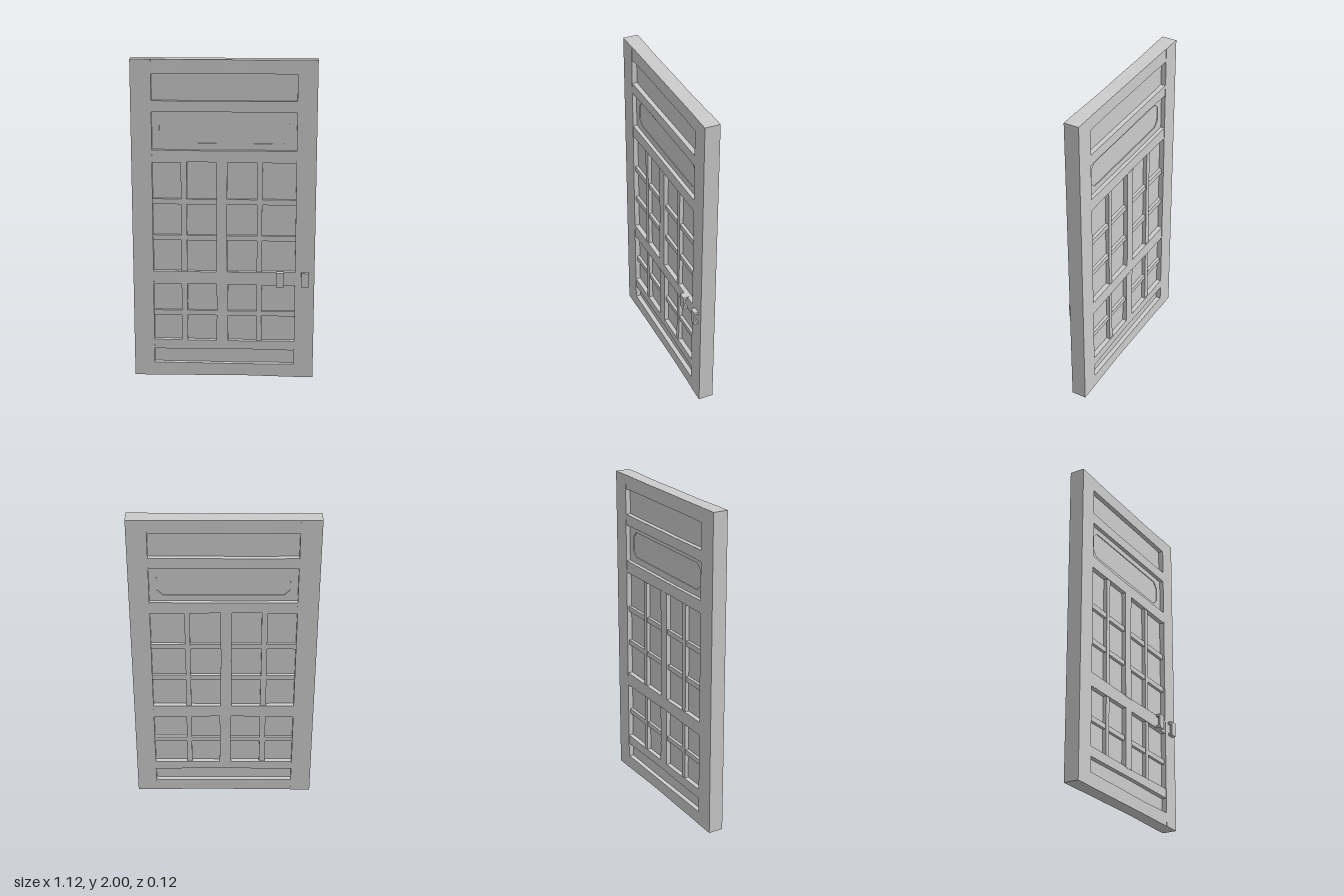
import * as THREE from 'three';

const MID = -0.0135; // centre of the door's thickness in z
const material = new THREE.MeshStandardMaterial({ color: 0xcccccc, flatShading: true });

function add(parent, name, geometry, x = 0, y = 0, z = 0) {
  const mesh = new THREE.Mesh(geometry, material);
  mesh.name = name;
  mesh.position.set(x, y, z);
  parent.add(mesh);
}

// Hand-hewn bar between two corners: slimmer towards the middle of its length
function bar(parent, name, x0, x1, y0, y1, depth, slim = 0.004, seed = 0) {
  const w = x1 - x0, h = y1 - y0, flat = w > h;
  const geo = new THREE.BoxGeometry(w, h, depth, flat ? 6 : 1, flat ? 1 : 6, 1);
  const p = geo.attributes.position;
  for (let i = 0; i < p.count; i++) {
    const x = p.getX(i), y = p.getY(i), z = p.getZ(i);
    const t = flat ? x / w : y / h;
    const cut = slim * Math.cos(t * Math.PI) * (0.7 + 0.3 * Math.sin(t * 9 + seed));
    if (flat) p.setY(i, y - Math.sign(y) * cut);
    else p.setX(i, x - Math.sign(x) * cut);
    p.setZ(i, z - Math.sign(z) * cut * 0.8);
  }
  add(parent, name, geo, (x0 + x1) / 2, (y0 + y1) / 2, MID);
}

// Outline of a rectangle with clipped corners
function clipped(path, x0, x1, y0, y1, c) {
  [[x0 + c, y0], [x1 - c, y0], [x1, y0 + c], [x1, y1 - c],
    [x1 - c, y1], [x0 + c, y1], [x0, y1 - c], [x0, y0 + c]]
    .forEach(([x, y], i) => (i ? path.lineTo(x, y) : path.moveTo(x, y)));
  path.closePath();
  return path;
}

export function createModel() {
  const door = new THREE.Group();
  door.name = 'door';

  // Side stiles
  bar(door, 'rightStile', -0.56, -0.435, 0, 2, 0.093, 0);
  bar(door, 'leftStile', 0.44, 0.56, 0, 2, 0.093, 0);

  // Horizontal rails, from bottom to top
  const rails = [[0, 0.085], [0.177, 0.238], [0.602, 0.688], [1.375, 1.452], [1.683, 1.752], [1.912, 2]];
  rails.forEach(([y0, y1], i) => bar(door, 'rail', -0.437, 0.442, y0, y1, 0.09, 0.004, i));

  // Centre posts and thinner vertical bars of the two glazed fields
  [[0.23, 0.61], [0.68, 1.38]].forEach(([y0, y1], i) => {
    bar(door, 'centrePost', -0.045 + i * -0.002, 0.028 - i * 0.006, y0, y1, 0.088, 0.003, i);
    bar(door, 'verticalBar', -0.262, -0.225, y0, y1, 0.078, 0.002, i);
    bar(door, 'verticalBar', 0.203, 0.236, y0, y1, 0.078, 0.002, i + 2);
  });

  // Thin horizontal bars between the panes
  [[0.398, 0.43], [0.884, 0.917], [1.112, 1.146]].forEach(([y0, y1], i) => {
    bar(door, 'horizontalBar', -0.437, 0.442, y0, y1, 0.068, 0.001, i);
  });

  // Recessed core panel behind the bars
  add(door, 'corePanel', new THREE.BoxGeometry(0.9, 1.9, 0.03), 0, 1, MID);

  // Border standing proud around the clipped field of the name-plate panel
  const border = clipped(new THREE.Shape(), -0.44, 0.445, 1.44, 1.695, 0);
  border.holes.push(clipped(new THREE.Path(), -0.39, 0.395, 1.49, 1.65, 0.035));
  add(door, 'panelBorder', new THREE.ExtrudeGeometry(border, { depth: 0.04, bevelEnabled: false }), 0, 0, MID - 0.02);

  // Two bracket-shaped pulls on the front
  [0.348, 0.502].forEach((x) => {
    const pull = new THREE.Group();
    pull.name = 'pullHandle';
    add(pull, 'grip', new THREE.BoxGeometry(0.047, 0.09, 0.013), 0, 0, 0.0535);
    for (const s of [-1, 1]) {
      add(pull, 'gripFoot', new THREE.BoxGeometry(0.047, 0.015, 0.034), 0, s * 0.0375, 0.038);
    }
    pull.position.set(x, 0.646, 0);
    door.add(pull);
  });

  return door;
}
